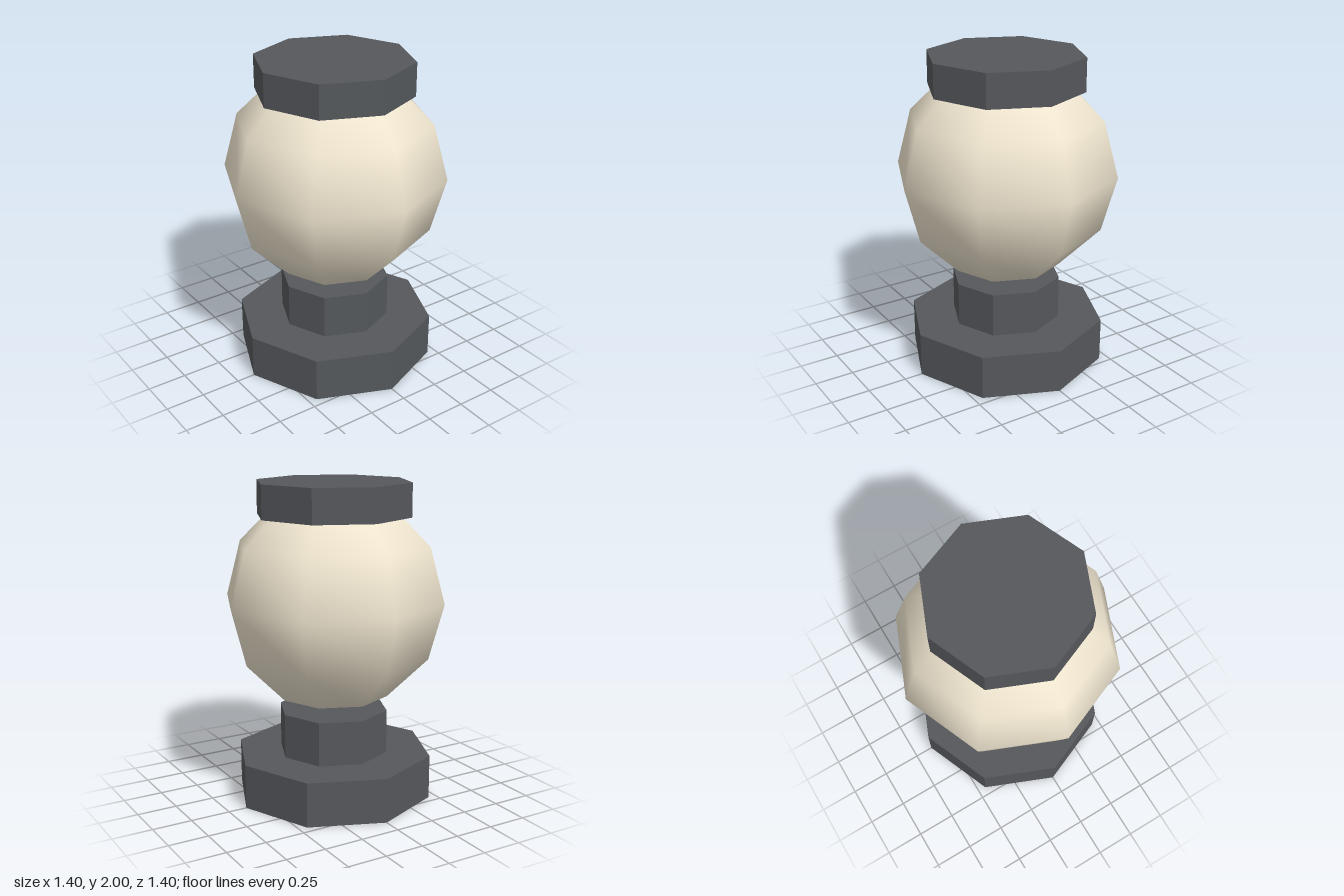
import * as THREE from 'three';

export function createModel() {
  const model = new THREE.Group();
  const metal = new THREE.MeshStandardMaterial({ color: 0x55585c, flatShading: true });
  const glass = new THREE.MeshStandardMaterial({ color: 0xf0e6d0 });

  // Octagonal slab standing between two heights
  function addSlab(name, radius, bottom, top) {
    const mesh = new THREE.Mesh(new THREE.CylinderGeometry(radius, radius, top - bottom, 8), metal);
    mesh.name = name;
    mesh.position.y = (bottom + top) / 2;
    model.add(mesh);
  }

  addSlab('base', 0.632, 0, 0.281);
  addSlab('neck', 0.351, 0.281, 0.562);
  addSlab('cap', 0.491, 1.79, 2);

  // Smooth-shaded low-poly globe resting on the neck
  const globe = new THREE.Mesh(new THREE.SphereGeometry(0.702, 8, 6), glass);
  globe.name = 'globe';
  globe.position.y = 1.265;
  model.add(globe);

  return model;
}
